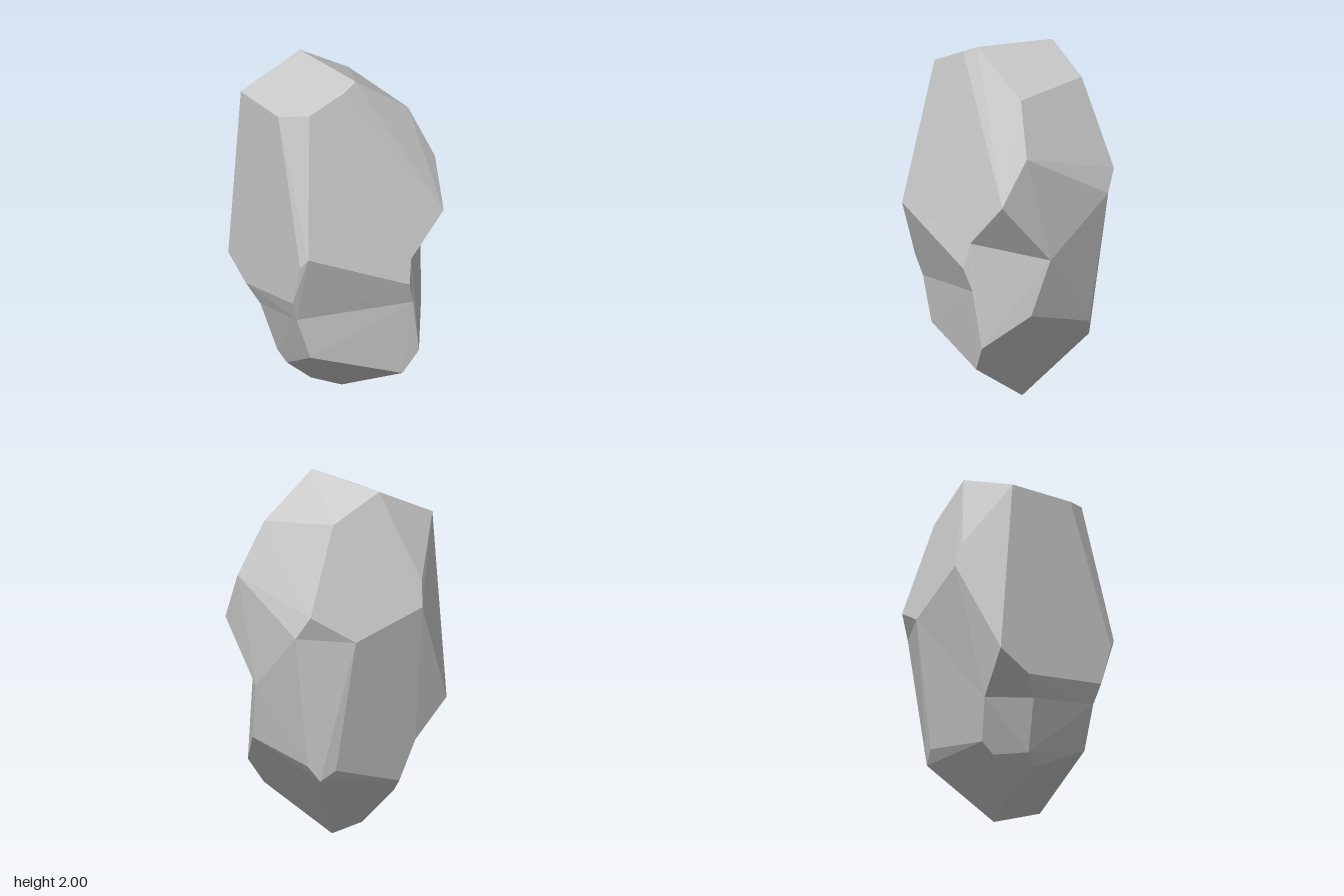
import * as THREE from 'three';
import { ConvexGeometry } from 'three/addons/geometries/ConvexGeometry.js';

// A faceted boulder: three chiselled convex blocks that share corners,
// meeting in shallow creases around the waist.

// Corners of the upper block alone
const crown = [
  [-0.33, 1.955, -0.07], [0.225, 2, 0.09], [0.225, 1.965, 0.18], [-0.2, 1.795, -0.33], [0.32, 1.75, -0.24],
  [-0.435, 1.8, 0.3], [-0.035, 1.825, 0.44], [0.16, 1.88, 0.4],
  [-0.54, 1.46, 0.04], [-0.565, 1.32, 0.01], [-0.19, 1.305, -0.54], [0.43, 1.45, -0.34], [0.565, 1.19, -0.26],
];

// Corners along the back, shared by upper and lower blocks
const spine = [[-0.1, 1.18, -0.555], [-0.365, 1.155, -0.35]];

// Front shoulder, shared by upper block and waist
const shoulder = [
  [-0.54, 0.77, 0.285], [-0.35, 0.67, 0.355], [0.15, 0.77, 0.53], [0.275, 1.08, 0.54], [0.225, 1.02, 0.55],
];

// Crease corners, shared by all three blocks
const crease = [
  [-0.44, 0.545, 0.125], [-0.26, 0.565, 0.335], [0.14, 0.65, 0.485], [0.525, 0.96, -0.035], [0.27, 0.855, -0.4],
];

// Side ridge: its upper corner belongs to the waist, its lower one also to the base
const ridgeTop = [[0.545, 0.82, 0]];
const ridgeFoot = [[0.525, 0.69, -0.05]];

// Corners of the lower block alone
const foot = [
  [-0.37, 0.315, 0.07], [-0.31, 0.25, 0.105], [-0.195, 0.275, 0.265], [-0.13, 0.215, 0.26],
  [0.175, 0.4, 0.41], [0.52, 0.37, -0.105], [0.46, 0.235, -0.035], [0.345, 0.545, -0.32],
  [-0.1, 0.445, -0.435], [-0.225, 0.42, -0.34], [-0.16, 0.36, -0.4],
  [-0.12, 0.055, 0.07], [-0.01, 0, -0.06],
];

export function createModel() {
  const group = new THREE.Group();
  group.name = 'boulder';
  const stone = new THREE.MeshStandardMaterial({ color: 0xcccccc, flatShading: true });

  const addBlock = (name, ...cornerSets) => {
    const points = cornerSets.flat().map((p) => new THREE.Vector3(...p));
    const mesh = new THREE.Mesh(new ConvexGeometry(points), stone);
    mesh.name = name;
    group.add(mesh);
  };

  addBlock('upperRock', crown, spine, shoulder, crease);
  addBlock('waistRock', shoulder, crease, ridgeTop, ridgeFoot);
  addBlock('lowerRock', spine, crease, ridgeFoot, foot);
  return group;
}
